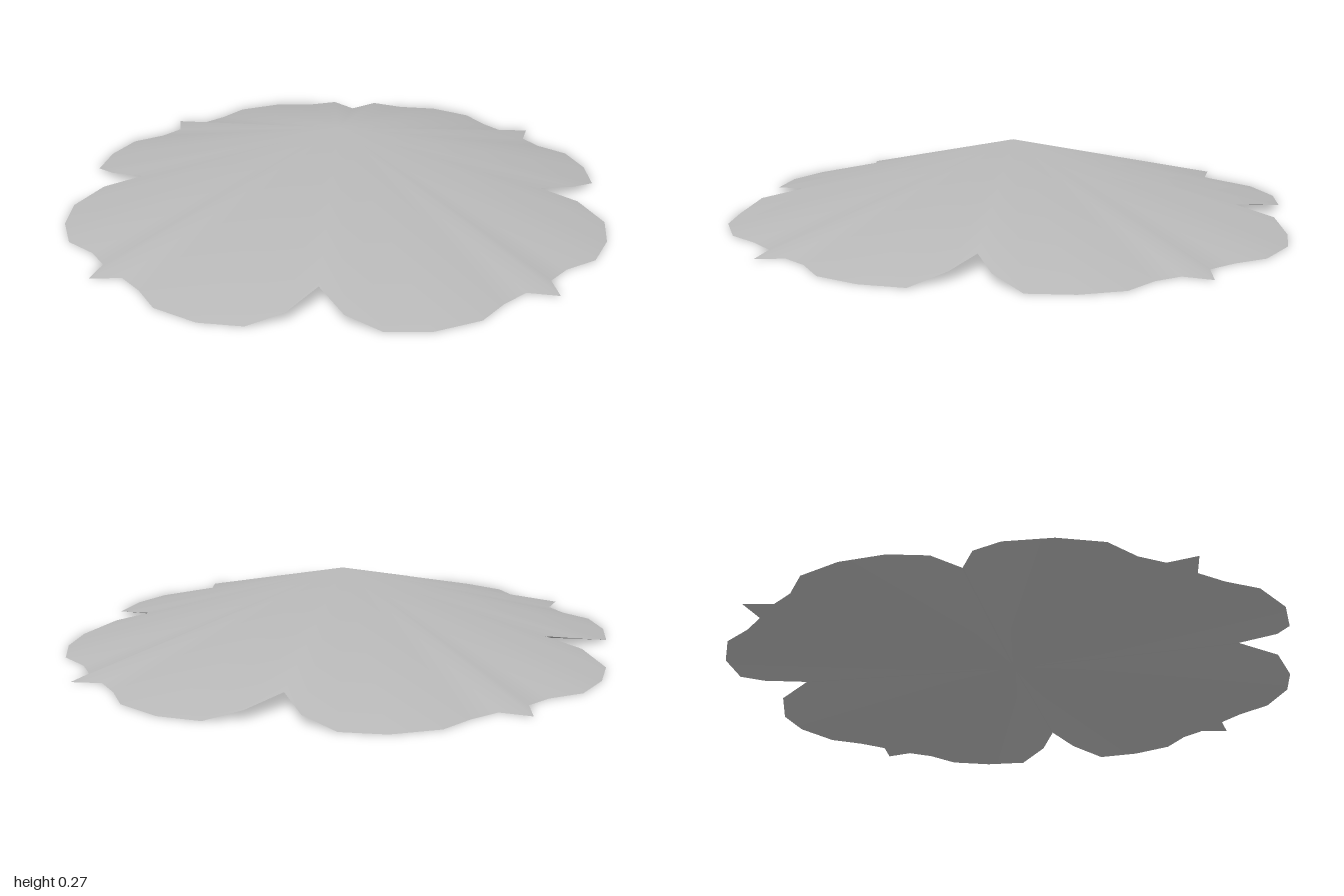
import * as THREE from 'three';

// One quarter of the scalloped rim, from the front notch to the side notch: x, y, z
const QUARTER = [
  [0, 0.05, 0.825], [0.09, 0.03, 0.96], [0.21, 0, 1], [0.36, 0, 0.988],
  [0.51, 0, 0.91], [0.58, 0, 0.805], [0.655, 0, 0.725], [0.763, 0, 0.738],
  [0.742, 0, 0.637], [0.8, 0, 0.557], [0.905, 0, 0.48], [0.963, 0, 0.335],
  [0.976, 0, 0.177], [0.89, 0.03, 0.067], [0.757, 0.05, 0],
];

// Mirror the quarter into a full loop running front, left, back, right
function rimLoop() {
  const loop = [];
  for (const [sx, sz] of [[1, 1], [1, -1], [-1, -1], [-1, 1]]) {
    const part = QUARTER.map(([x, y, z]) => [x * sx, y, z * sz]);
    if (sx * sz < 0) part.reverse();
    loop.push(...part.slice(0, -1));
  }
  return loop;
}

// Smooth fan from a centre point to the rim
function fan(rim, centreY, facingUp) {
  const n = rim.length;
  const index = [];
  for (let i = 0; i < n; i++) {
    const a = i + 1;
    const b = ((i + 1) % n) + 1;
    index.push(0, ...(facingUp ? [a, b] : [b, a]));
  }
  const geometry = new THREE.BufferGeometry();
  geometry.setAttribute('position', new THREE.Float32BufferAttribute([0, centreY, 0, ...rim.flat()], 3));
  geometry.setIndex(index);
  geometry.computeVertexNormals();
  return geometry;
}

export function createModel() {
  const group = new THREE.Group();
  group.name = 'scallopedCanopy';
  const grey = new THREE.MeshStandardMaterial({ color: 0xb8b8b8 });
  grey.name = 'grey';
  const rim = rimLoop();

  // Ridged upper surface rising to a point
  const top = new THREE.Mesh(fan(rim, 0.27, true), grey);
  top.name = 'canopyTop';

  // Shallow underside sharing the same rim
  const underside = new THREE.Mesh(fan(rim, 0.03, false), grey);
  underside.name = 'canopyUnderside';

  group.add(top, underside);
  return group;
}
